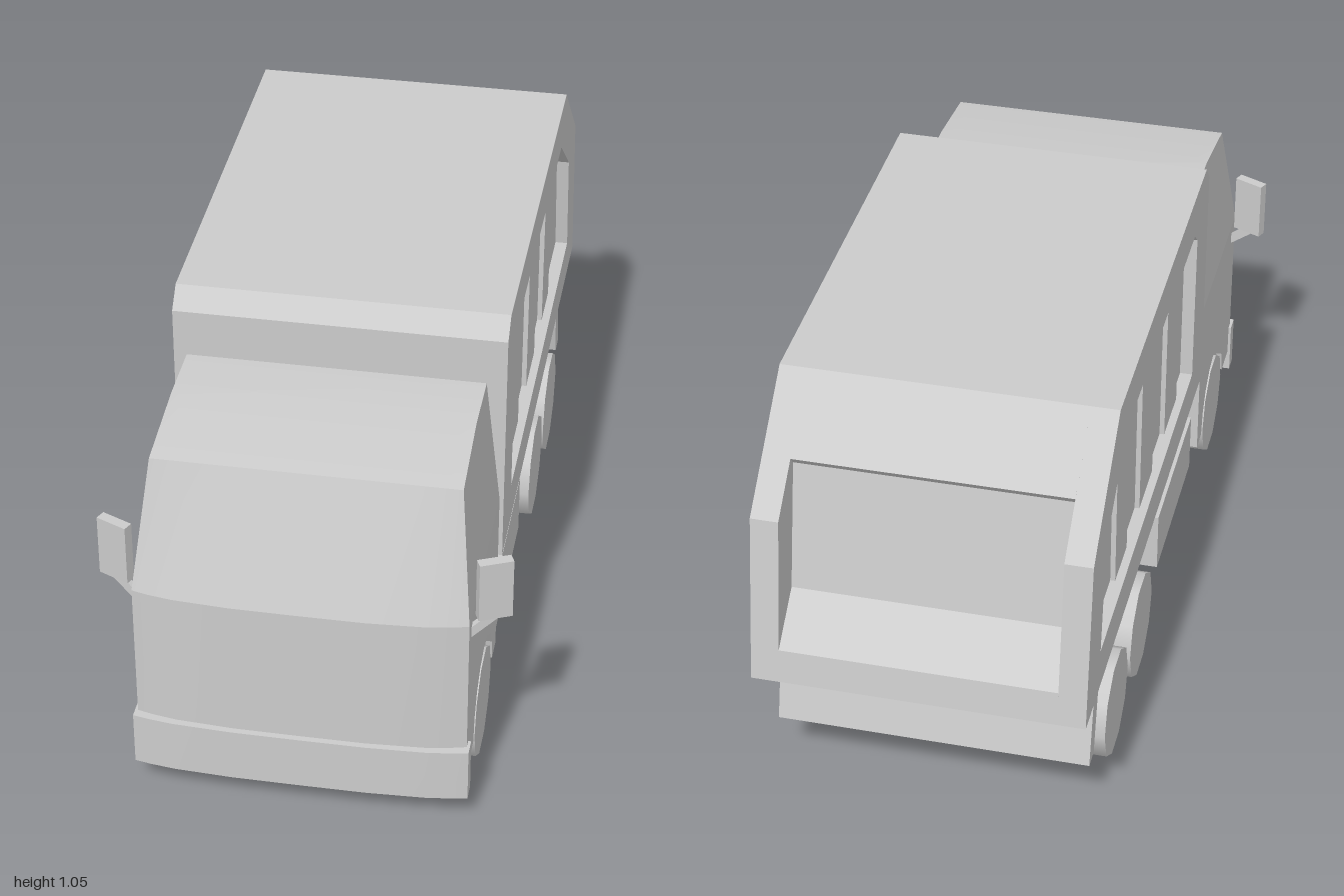
import * as THREE from 'three';
import { toCreasedNormals } from 'three/addons/utils/BufferGeometryUtils.js';

const material = new THREE.MeshStandardMaterial({ color: 0xcccccc });

// Side profile given as [z, y] points, extruded across x from x0 to x1
function acrossX(points, x0, x1, hole) {
  const toVec = ([z, y]) => new THREE.Vector2(z, y);
  const shape = new THREE.Shape(points.map(toVec));
  if (hole) shape.holes.push(new THREE.Path(hole.map(toVec)));
  const geo = new THREE.ExtrudeGeometry(shape, { depth: x1 - x0, bevelEnabled: false });
  geo.rotateY(-Math.PI / 2);
  geo.translate(x1, 0, 0);
  return geo;
}

// Box from its limits
function block(x0, x1, y0, y1, z0, z1) {
  const geo = new THREE.BoxGeometry(x1 - x0, y1 - y0, z1 - z0);
  geo.translate((x0 + x1) / 2, (y0 + y1) / 2, (z0 + z1) / 2);
  return geo;
}

// Horizontal outline with a straight back and a bowed front
function bowedRing(y, halfWidth, back, cornerZ, centreZ) {
  const ring = [[halfWidth, y, back], [-halfWidth, y, back]];
  for (const t of [-1, -0.9, -0.75, -0.4, 0, 0.4, 0.75, 0.9, 1]) {
    ring.push([t * halfWidth, y, cornerZ + (centreZ - cornerZ) * (1 - t ** 4)]);
  }
  return ring;
}

// Closed solid through a stack of rings, lowest first
function loft(rings) {
  const pos = [];
  const tri = (a, b, c) => pos.push(...a, ...b, ...c);
  const n = rings[0].length;
  for (let r = 0; r < rings.length - 1; r++) {
    for (let i = 0; i < n; i++) {
      const j = (i + 1) % n;
      const [low, high] = [rings[r], rings[r + 1]];
      tri(low[i], low[j], high[j]);
      tri(low[i], high[j], high[i]);
    }
  }
  const bottom = rings[0], top = rings[rings.length - 1];
  for (let i = 1; i < n - 1; i++) {
    tri(top[0], top[i], top[i + 1]);
    tri(bottom[0], bottom[i + 1], bottom[i]);
  }
  const geo = new THREE.BufferGeometry();
  geo.setAttribute('position', new THREE.Float32BufferAttribute(pos, 3));
  return toCreasedNormals(geo, 0.35);
}

// Lower cab side with a faceted wheel arch cut from its bottom edge
function archProfile(radius) {
  const points = [[0.845, 0.135], [0.845, 0.57], [0.465, 0.57], [0.465, 0.135]];
  for (let i = 0; i <= 8; i++) {
    const a = Math.PI * (1 - i / 8);
    points.push([0.685 + radius * Math.cos(a), 0.135 + radius * Math.sin(a)]);
  }
  return points;
}

export function createModel() {
  const model = new THREE.Group();
  const add = (name, geo, parent = model) => {
    const mesh = new THREE.Mesh(geo, material);
    mesh.name = name;
    parent.add(mesh);
    return mesh;
  };
  const group = (name) => {
    const g = new THREE.Group();
    g.name = name;
    model.add(g);
    return g;
  };
  const sides = [['left', 1], ['right', -1]];
  // Limits of a part on the left, or mirrored to the right
  const span = (s, a, b) => (s > 0 ? [a, b] : [-b, -a]);

  // Cab
  const cab = group('cab');
  add('cabUpper', loft([
    bowedRing(0.57, 0.39, 0.465, 0.957, 0.985),
    bowedRing(0.88, 0.358, 0.483, 0.865, 0.865),
    bowedRing(0.912, 0.355, 0.485, 0.65, 0.65),
  ]), cab);
  add('cabNose', loft([
    bowedRing(0.135, 0.39, 0.845, 0.957, 0.985),
    bowedRing(0.57, 0.39, 0.845, 0.957, 0.985),
  ]), cab);
  add('cabFloor', block(-0.235, 0.235, 0.135, 0.57, 0.465, 0.845), cab);
  for (const [side, s] of sides) {
    add(side + 'WheelWell', acrossX(archProfile(0.145), ...span(s, 0.235, 0.375)), cab);
    add(side + 'CabSide', acrossX(archProfile(0.158), ...span(s, 0.375, 0.39)), cab);
  }
  add('frontBumper', loft([
    bowedRing(0.077, 0.397, 0.935, 0.978, 1.0),
    bowedRing(0.215, 0.397, 0.935, 0.978, 1.0),
  ]));

  // Mirrors, swept back at their outer ends
  for (const [side, s] of sides) {
    const mirror = group(side + 'Mirror');
    const glass = add(side + 'MirrorHousing', new THREE.BoxGeometry(0.08, 0.155, 0.025), mirror);
    glass.position.set(s * 0.438, 0.643, 0.9);
    glass.rotation.y = s * 0.42;
    const arm = add(side + 'MirrorArm', new THREE.BoxGeometry(0.1, 0.022, 0.015), mirror);
    arm.position.set(s * 0.412, 0.546, 0.905);
    arm.rotation.set(0, s * 0.3, s * 0.69);
  }

  // Refuse body: core with a rear hopper, solid cheeks, framed side panels
  const body = group('refuseBody');
  const outline = [[0.44, 0.385], [0.44, 1.0], [0.395, 1.047], [-0.67, 1.047], [-0.94, 0.805], [-1.0, 0.385]];
  const hopperOutline = [
    ...outline.slice(0, 4),
    [-0.83, 0.904], [-0.812, 0.882], [-0.87, 0.565], [-0.988, 0.47],
    [-1.0, 0.385],
  ];
  const panel = [[0.295, 0.49], [0.295, 0.9], [0.255, 0.935], [-0.59, 0.935], [-0.8, 0.77], [-0.845, 0.49]];
  add('hopperCore', acrossX(hopperOutline, -0.33, 0.33), body);
  for (const [side, s] of sides) {
    add(side + 'BodyCheek', acrossX(outline, ...span(s, 0.33, 0.365)), body);
    add(side + 'PanelFrame', acrossX(outline, ...span(s, 0.365, 0.397), panel), body);
    for (const [z0, z1] of [[0.02, 0.18], [-0.295, -0.137], [-0.585, -0.45]]) {
      add(side + 'PanelRib', block(...span(s, 0.36, 0.377), 0.489, 0.934, z0, z1), body);
    }
  }

  // Chassis
  const chassis = group('chassis');
  add('deck', block(-0.375, 0.375, 0.31, 0.37, -0.83, 0.455), chassis);
  add('bodyMount', block(-0.3, 0.3, 0.365, 0.39, -0.8, 0.41), chassis);
  add('rearSkirt', acrossX([[-0.78, 0.312], [-0.83, 0.312], [-0.868, 0.155], [-0.818, 0.155]], -0.38, 0.38), chassis);
  for (const [side, s] of sides) {
    add(side + 'FrameRail', block(...span(s, 0.145, 0.19), 0.16, 0.325, -0.63, 0.47), chassis);
    add(side + 'SideTank', block(...span(s, 0.19, 0.38), 0.112, 0.27, -0.04, 0.41), chassis);
  }

  // Wheels
  const wheelGeo = new THREE.CylinderGeometry(0.137, 0.137, 0.15, 10);
  wheelGeo.rotateZ(Math.PI / 2);
  for (const [side, s] of sides) {
    for (const [axle, z] of [['Front', 0.685], ['Middle', -0.298], ['Rear', -0.6]]) {
      add(side + axle + 'Wheel', wheelGeo).position.set(s * 0.315, 0.1303, z);
    }
  }
  return model;
}
